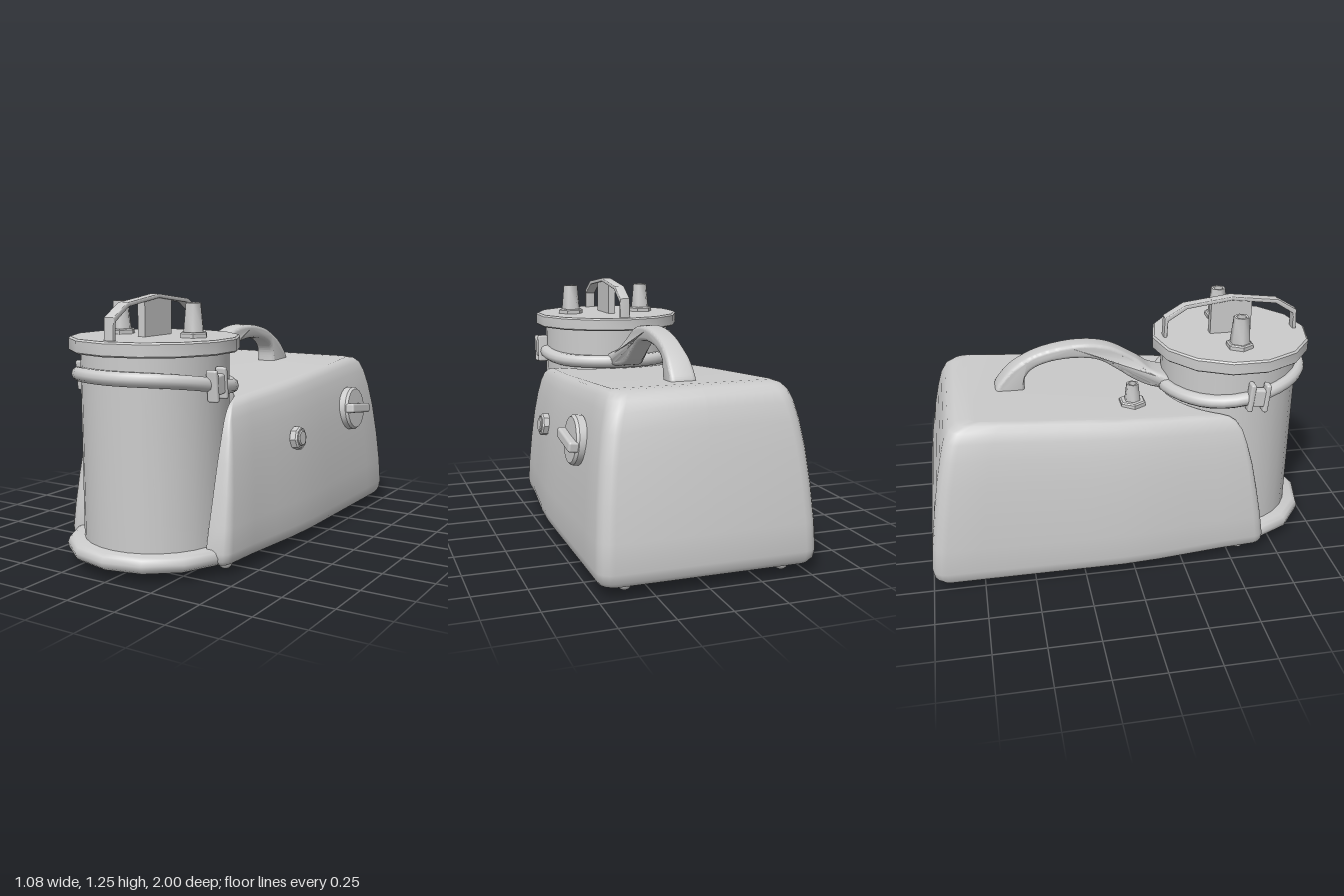
import * as THREE from 'three';
import { mergeVertices, toCreasedNormals } from 'three/addons/utils/BufferGeometryUtils.js';
import { RoundedBoxGeometry } from 'three/addons/geometries/RoundedBoxGeometry.js';

const CX = -0.02, JAR_Z = 0.57;
const grey = new THREE.MeshStandardMaterial({ color: 0xcccccc });
const { lerp, smoothstep } = THREE.MathUtils;
const v2 = (a) => a.map(([x, y]) => new THREE.Vector2(x, y));

function add(parent, name, geometry, x = 0, y = 0, z = 0) {
  const mesh = new THREE.Mesh(geometry, grey);
  mesh.name = name;
  mesh.position.set(x, y, z);
  parent.add(mesh);
  return mesh;
}

const crease = (g, angle = 0.7) => {
  const bare = g.clone();
  bare.deleteAttribute('uv');
  bare.deleteAttribute('normal');
  return toCreasedNormals(mergeVertices(bare, 1e-4), angle);
};

const lathe = (profile, sides, angle) => crease(new THREE.LatheGeometry(v2(profile), sides), angle);

function warp(geometry, rule) {
  const p = geometry.attributes.position, v = new THREE.Vector3();
  for (let i = 0; i < p.count; i++) {
    rule(v.fromBufferAttribute(p, i));
    p.setXYZ(i, v.x, v.y, v.z);
  }
  return geometry;
}

// Side silhouette given in (z, y), extruded to a width along x
function sideExtrude(shape, width, bevel) {
  const g = new THREE.ExtrudeGeometry(shape, {
    depth: width - 2 * bevel, steps: 1, curveSegments: 20,
    bevelEnabled: bevel > 0, bevelThickness: bevel, bevelSize: bevel, bevelOffset: -bevel, bevelSegments: 3,
  });
  return g.translate(0, 0, bevel - width / 2).rotateY(-Math.PI / 2);
}

// Roof of the housing rises towards the back
const roof = (z) => Math.min(0.86, 0.77 + 0.075 * (0.48 - z));

// Plan outline of the housing: a rounded block with a round pocket for the jar
function outline(half, back, tip, r) {
  const pts = [];
  const width = (z) => half * (1 - 0.12 * smoothstep(z, -0.1, 0.67));
  const end = Math.asin((tip - JAR_Z) / r);
  for (let i = 0; i <= 14; i++) {
    const a = lerp(-Math.PI / 2, end, i / 14);
    pts.push([r * Math.cos(a), JAR_Z + r * Math.sin(a)]);
  }
  const inner = r * Math.cos(end), outer = width(tip);
  const c = Math.max(0.008, (outer - inner) * 0.45);
  for (let i = 0; i <= 3; i++) {
    const a = Math.PI / 2 * (1 - i / 3);
    pts.push([outer - c + c * Math.cos(a), tip - c + c * Math.sin(a)]);
  }
  const R = 0.07;
  for (let i = 1; i <= 9; i++) {
    const z = lerp(tip - c, back + R, i / 9);
    pts.push([width(z), z]);
  }
  for (let i = 1; i <= 4; i++) {
    const a = -Math.PI / 2 * i / 4;
    pts.push([half - R + R * Math.cos(a), back + R + R * Math.sin(a)]);
  }
  pts.push([0, back]);
  const mirrored = pts.slice(1, -1).reverse().map(([x, z]) => [-x, z]);
  return pts.concat(mirrored);
}

// Housing lofted upward: height fraction, half width, back z, arm tip z, pocket radius
function housingGeometry() {
  const layers = [
    [0, 0.475, -0.95, 0.64, 0.368], [0.015, 0.5, -0.98, 0.665, 0.363], [0.04, 0.514, -0.993, 0.677, 0.362],
    [0.09, 0.52, -1, 0.68, 0.362], [0.25, 0.515, -0.988, 0.662, 0.362], [0.45, 0.503, -0.965, 0.635, 0.362],
    [0.65, 0.485, -0.938, 0.605, 0.362], [0.8, 0.465, -0.912, 0.575, 0.362], [0.9, 0.445, -0.89, 0.55, 0.362],
    [0.96, 0.427, -0.865, 0.52, 0.362], [0.99, 0.408, -0.83, 0.485, 0.363], [1, 0.385, -0.78, 0.44, 0.365],
  ];
  const loops = layers.map(([, ...dims]) => outline(...dims));
  const n = loops[0].length, pos = [], idx = [];
  loops.forEach((loop, k) => loop.forEach(([x, z]) =>
    pos.push(x, 0.04 + layers[k][0] * (roof(z) - 0.04), z)));
  for (let k = 0; k < loops.length - 1; k++) {
    for (let i = 0; i < n; i++) {
      const a = k * n + i, b = k * n + (i + 1) % n;
      idx.push(a, b, b + n, a, b + n, a + n);
    }
  }
  const cap = (k) => THREE.ShapeUtils.triangulateShape(v2(loops[k].map(([x, z]) => [x, -z])), []);
  const top = (loops.length - 1) * n;
  cap(0).forEach(([a, b, c]) => idx.push(a, c, b));
  cap(loops.length - 1).forEach(([a, b, c]) => idx.push(top + a, top + b, top + c));
  const g = new THREE.BufferGeometry();
  g.setAttribute('position', new THREE.Float32BufferAttribute(pos, 3));
  g.setIndex(idx);
  return toCreasedNormals(g, 0.75);
}

// Hose port: hexagonal flange with a hollow tapering nozzle
function addPort(parent, name, x, y, z, height, r) {
  const port = new THREE.Group();
  port.name = name;
  port.position.set(x, y, z);
  add(port, 'flange', lathe([[0, 0], [0.068, 0], [0.068, 0.018], [0.06, 0.024], [0, 0.024]], 6, 0.4).rotateY(Math.PI / 6));
  add(port, 'nozzle', lathe([[r, 0.015], [r * 0.74, height], [r * 0.5, height], [r * 0.5, height - 0.05], [0, height - 0.05]], 6, 1.1)
    .rotateY(Math.PI / 6));
  parent.add(port);
}

export function createModel() {
  const model = new THREE.Group();
  add(model, 'housing', housingGeometry(), CX);

  // Tray, jar and lid
  add(model, 'tray', lathe([[0, 0.045], [0.4, 0.045], [0.42, 0.06], [0.425, 0.085], [0.415, 0.11], [0.395, 0.12], [0, 0.12]], 14, 0.9), CX, 0, JAR_Z);
  add(model, 'jar', lathe([[0, 0.1], [0.345, 0.1], [0.345, 1.01], [0, 1.01]], 28), CX, 0, JAR_Z);
  add(model, 'lid', lathe([[0, 0.993], [0.388, 0.993], [0.397, 1.0], [0.397, 1.052], [0.388, 1.06], [0, 1.06]], 14, 0.55), CX, 0, JAR_Z);

  // Thin arched grip across the lid with a central web
  const arch = [[0.345, 1.05], [0.34, 1.16], [0.24, 1.22], [0, 1.25], [-0.24, 1.22], [-0.34, 1.16], [-0.345, 1.05]];
  const under = arch.map(([z, y], i) => [z * 0.95, i % 6 ? y - 0.018 : y]).reverse();
  const grip = new THREE.Shape(v2([...arch, ...under]));
  add(model, 'lidGrip', crease(sideExtrude(grip, 0.055, 0.004), 0.6), CX, 0, JAR_Z);
  add(model, 'lidGripWeb', new THREE.BoxGeometry(0.04, 0.185, 0.21), CX, 1.145, JAR_Z);

  addPort(model, 'leftLidPort', 0.19, 1.06, 0.565, 0.155, 0.052);
  addPort(model, 'rightLidPort', -0.22, 1.06, 0.565, 0.155, 0.052);
  addPort(model, 'housingPort', -0.235, 0.803, 0.03, 0.11, 0.042);

  // Band around the jar, dipping behind and rising to the front
  const band = warp(new THREE.TorusGeometry(0.354, 0.034, 10, 40).rotateX(Math.PI / 2), (v) => {
    v.y += 0.825 + 0.075 * smoothstep(v.z, -0.25, 0.4);
  });
  band.computeVertexNormals();
  add(model, 'jarBand', crease(band, 1.2), CX, 0, JAR_Z);

  // Clamps on both sides of the band
  for (const side of [-1, 1]) {
    const clamp = new THREE.Group();
    clamp.name = side > 0 ? 'leftClamp' : 'rightClamp';
    clamp.position.set(CX + side * 0.37, 0.862, 0.62);
    clamp.rotation.x = 0.1;
    for (const dz of [-0.038, 0.038]) {
      add(clamp, 'clampRib', new RoundedBoxGeometry(0.055, 0.145, 0.026, 2, 0.01), 0, 0, dz);
    }
    add(clamp, 'clampBridge', new RoundedBoxGeometry(0.045, 0.09, 0.08, 2, 0.01));
    model.add(clamp);
  }

  // Carrying handle, flared where it meets the roof and the band
  const handle = new THREE.Shape();
  handle.moveTo(-0.63, 0.83);
  handle.splineThru(v2([[-0.61, 0.88], [-0.53, 0.965], [-0.4, 1.03], [-0.22, 1.06], [-0.06, 1.04], [0.08, 0.965], [0.16, 0.905], [0.25, 0.87]]));
  handle.lineTo(0.25, 0.8);
  handle.splineThru(v2([[0.15, 0.815], [0.07, 0.85], [-0.02, 0.915], [-0.11, 0.97], [-0.22, 0.988], [-0.34, 0.98], [-0.43, 0.95], [-0.475, 0.9], [-0.48, 0.83]]));
  handle.closePath();
  const handleGeometry = warp(sideExtrude(handle, 0.1, 0.018), (v) => {
    v.x *= 1 + 0.9 * smoothstep(v.z, 0.06, 0.24) + 0.3 * smoothstep(-v.z, 0.45, 0.63);
  });
  add(model, 'carryHandle', crease(handleGeometry, 0.8), CX);

  // Rotary knob with its raised bar, on the left wall
  const knob = new THREE.Group();
  knob.name = 'knob';
  knob.position.set(0.455, 0.6, -0.56);
  knob.rotation.z = 0.1;
  add(knob, 'knobDisc', lathe([[0, 0], [0.115, 0], [0.115, 0.035], [0.105, 0.048], [0, 0.05]], 20, 0.5).rotateZ(-Math.PI / 2));
  const bar = add(knob, 'knobBar', new RoundedBoxGeometry(0.075, 0.05, 0.222, 2, 0.012), 0.045);
  bar.rotation.x = -0.12;
  model.add(knob);

  // Push button in an octagonal collar
  const button = new THREE.Group();
  button.name = 'button';
  button.position.set(0.455, 0.54, 0.07);
  button.rotation.z = 0.1;
  add(button, 'buttonCollar', lathe([[0, 0], [0.057, 0], [0.057, 0.03], [0.05, 0.038], [0.042, 0.038], [0.042, 0.03], [0, 0.03]], 8, 0.5).rotateZ(-Math.PI / 2));
  add(button, 'buttonCap', lathe([[0, 0.02], [0.039, 0.02], [0.039, 0.04], [0.033, 0.045], [0, 0.045]], 12, 0.5).rotateZ(-Math.PI / 2));
  model.add(button);

  // Round feet
  for (const x of [-0.4, 0.355]) {
    for (const z of [0.56, -0.885]) {
      add(model, 'foot', new THREE.SphereGeometry(0.035, 14, 10), x, 0.035, z);
    }
  }
  return model;
}
